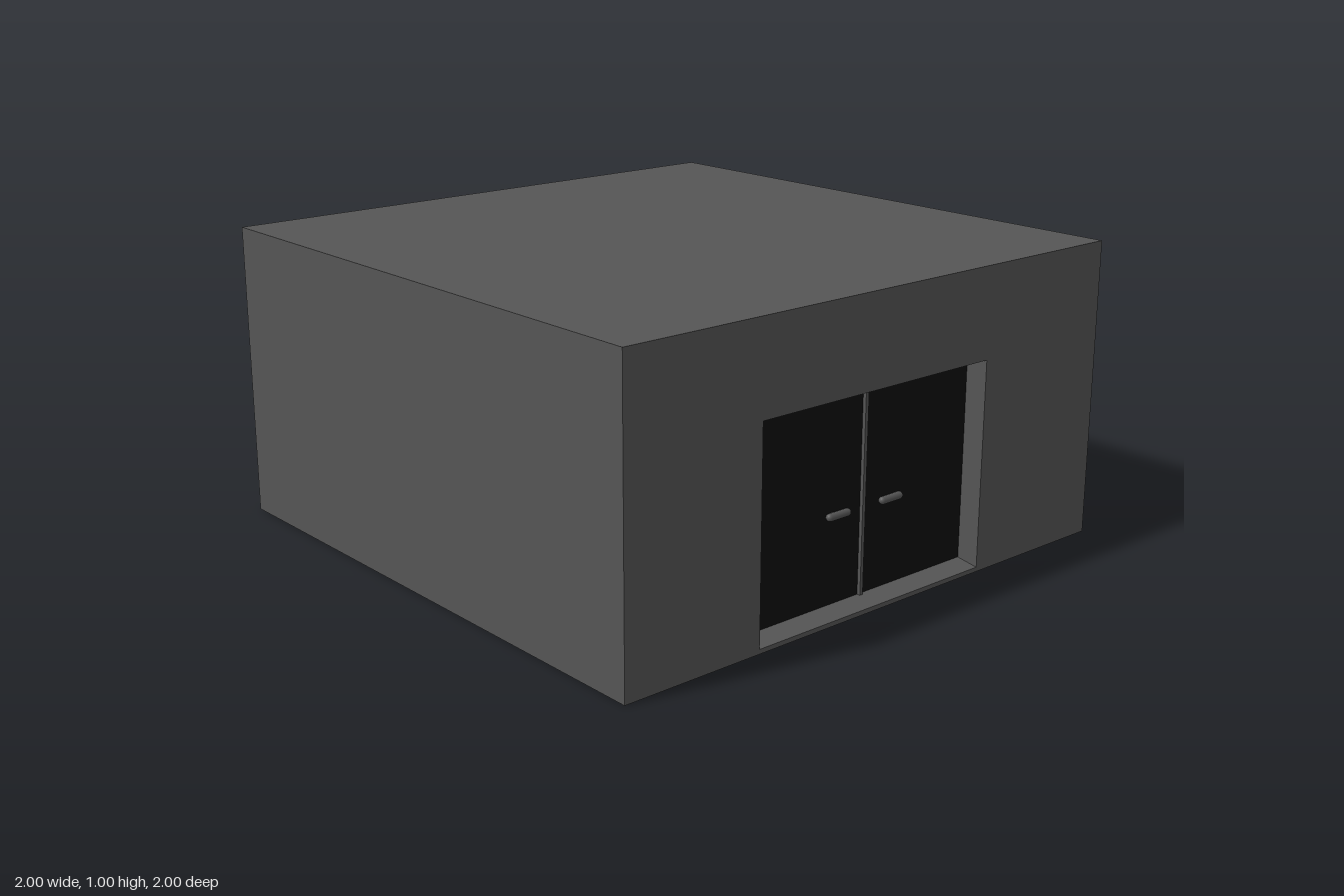
import * as THREE from 'three';

export function createModel() {
  const group = new THREE.Group();
  const wallGrey = new THREE.MeshStandardMaterial({ color: 0x555555 });
  wallGrey.name = 'wallGrey';
  const doorBlack = new THREE.MeshStandardMaterial({ color: 0x0e0e0e });
  doorBlack.name = 'doorBlack';

  const add = (name, geometry, material, x = 0, y = 0, z = 0) => {
    const mesh = new THREE.Mesh(geometry, material);
    mesh.name = name;
    mesh.position.set(x, y, z);
    group.add(mesh);
    return mesh;
  };

  // Doorway limits and the depth of its recess
  const left = -0.5, right = 0.45, bottom = 0.015, top = 0.7, depth = 0.08;
  const width = right - left, midX = (left + right) / 2;
  const doorZ = 1 - depth;

  // Main block behind the doorway
  add('building', new THREE.BoxGeometry(2, 1, 2 - depth), wallGrey, 0, 0.5, -depth / 2);

  // Front wall with the doorway cut out
  const wall = new THREE.Shape([[-1, 0], [1, 0], [1, 1], [-1, 1]].map(p => new THREE.Vector2(...p)));
  wall.holes.push(new THREE.Path(
    [[left, bottom], [left, top], [right, top], [right, bottom]].map(p => new THREE.Vector2(...p))));
  add('frontWall', new THREE.ExtrudeGeometry(wall, { depth, bevelEnabled: false }), wallGrey, 0, 0, doorZ);

  // Sloping sill and lintel: triangles in (z, y) swept along x
  const wedge = (name, points) => {
    const shape = new THREE.Shape(points.map(p => new THREE.Vector2(...p)));
    const geometry = new THREE.ExtrudeGeometry(shape, { depth: width, bevelEnabled: false });
    geometry.rotateY(-Math.PI / 2);
    add(name, geometry, wallGrey, right, 0, 0);
  };
  wedge('sill', [[doorZ, bottom], [1, bottom], [doorZ, bottom + 0.012]]);
  wedge('lintel', [[doorZ, top - 0.018], [1, top], [doorZ, top]]);

  // Two door leaves with a raised strip between them
  const seam = -0.012, doorBottom = bottom + 0.012, doorTop = top - 0.018;
  const doorHeight = doorTop - doorBottom, midY = (doorTop + doorBottom) / 2;
  for (const [name, a, b] of [['rightDoor', left, seam], ['leftDoor', seam, right]]) {
    add(name, new THREE.BoxGeometry(b - a, doorHeight, 0.006), doorBlack, (a + b) / 2, midY, doorZ);
  }
  add('doorStrip', new THREE.BoxGeometry(0.012, doorHeight, 0.03), wallGrey, seam, midY, doorZ);

  // Horizontal bar handles
  for (const [name, x] of [['rightHandle', -0.12], ['leftHandle', 0.108]]) {
    const bar = new THREE.CapsuleGeometry(0.0125, 0.073, 4, 12);
    bar.rotateZ(Math.PI / 2);
    add(name, bar, wallGrey, x, 0.313, doorZ + 0.013);
  }

  return group;
}
